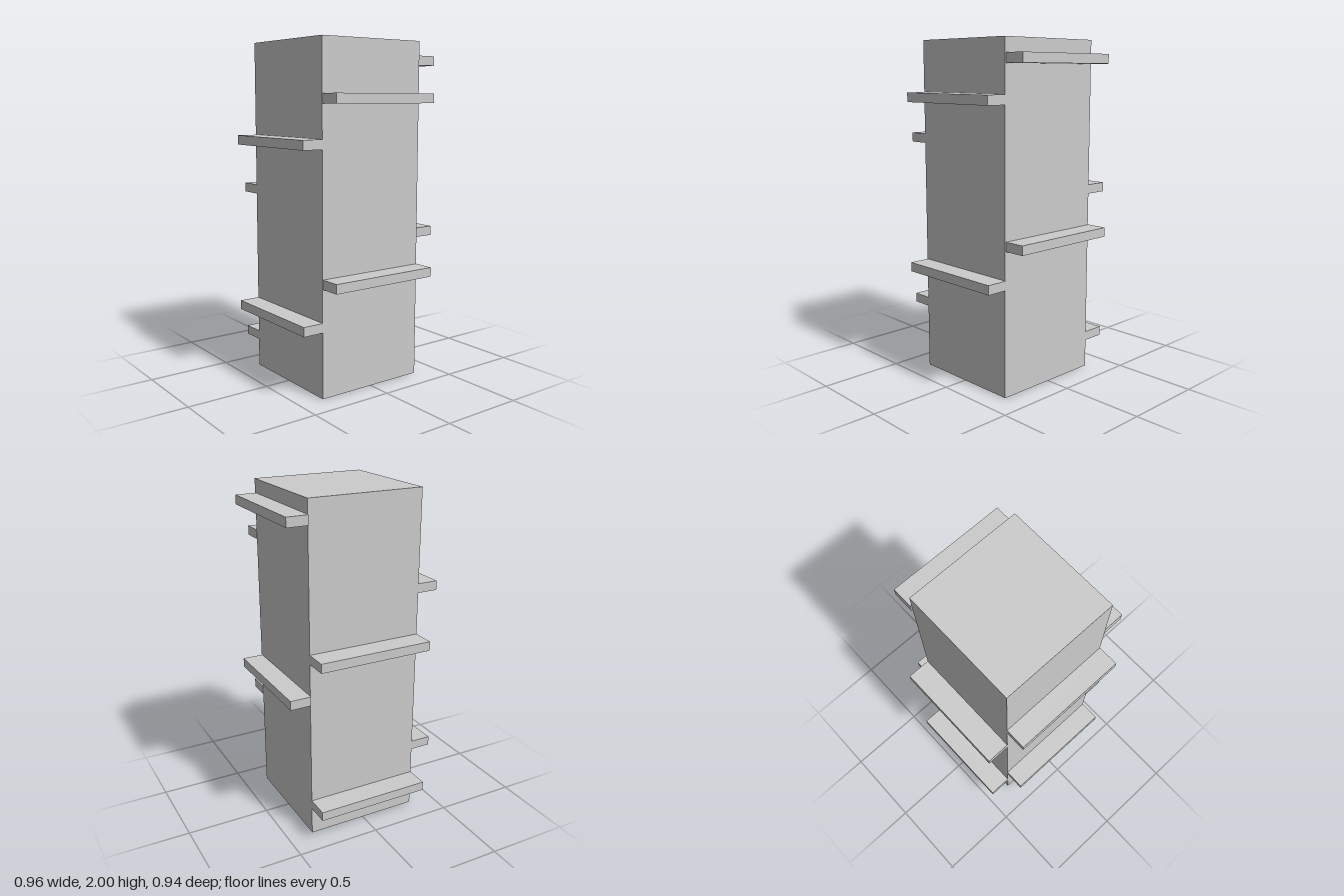
import * as THREE from 'three';

const material = new THREE.MeshStandardMaterial({ color: 0xcccccc, flatShading: true });

// Box given by its extents along each axis
function block(name, [x0, x1], [y0, y1], [z0, z1]) {
  const mesh = new THREE.Mesh(new THREE.BoxGeometry(x1 - x0, y1 - y0, z1 - z0), material);
  mesh.name = name;
  mesh.position.set((x0 + x1) / 2, (y0 + y1) / 2, (z0 + z1) / 2);
  return mesh;
}

export function createModel() {
  const group = new THREE.Group();
  group.name = 'ledgedPillar';

  // Square pillar
  group.add(block('pillar', [-0.341, 0.352], [0, 2], [-0.347, 0.345]));

  // Two ledges on each side, climbing in a spiral; y is the underside
  const thickness = 0.055;
  const sides = [
    { name: 'leftLedge', x: [0.352, 0.478], z: [-0.35, 0.343], y: [0.631, 1.645] },
    { name: 'rightLedge', x: [-0.48, -0.341], z: [-0.347, 0.345], y: [0.168, 1.095] },
    { name: 'frontLedge', x: [-0.341, 0.352], z: [0.345, 0.47], y: [0.385, 1.4] },
    { name: 'backLedge', x: [-0.349, 0.344], z: [-0.472, -0.347], y: [0.849, 1.863] },
  ];
  for (const { name, x, z, y } of sides) {
    y.forEach((y0, i) => {
      group.add(block(name + (i ? 'Upper' : 'Lower'), x, [y0, y0 + thickness], z));
    });
  }
  return group;
}
